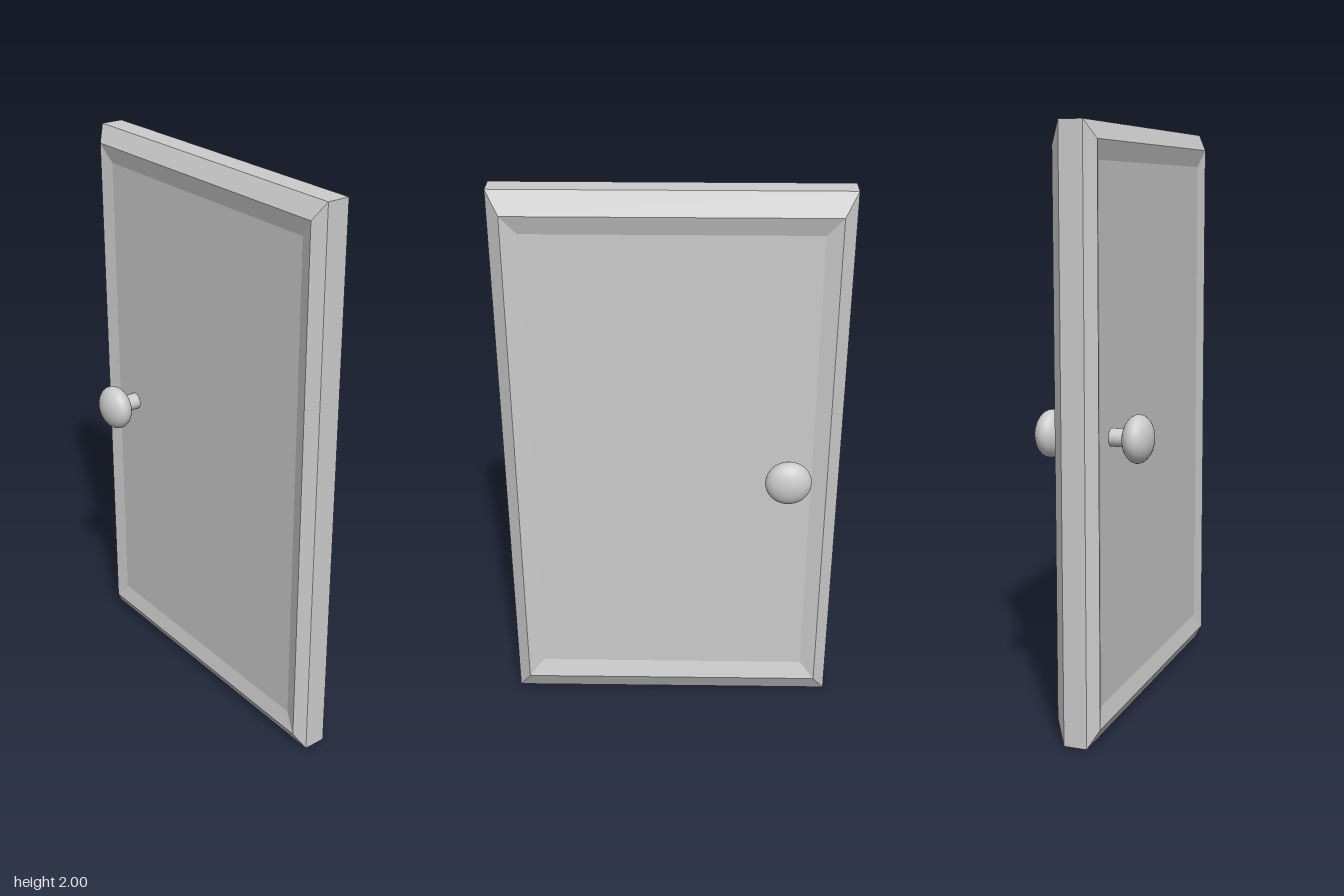
import * as THREE from 'three';

const KNOB_Z = -0.404;

// Rectangular loops from the -x panel to the +x panel: [x, half depth, half height]
const LOOPS = [
  [-0.06, 0.505, 0.88],   // left recessed panel
  [-0.075, 0.555, 0.942], // left rim
  [-0.041, 0.589, 1],     // core edge
  [0.039, 0.589, 1],      // core edge
  [0.079, 0.545, 0.925],  // right rim
  [0.059, 0.492, 0.86],   // right recessed panel
];

// Slab skinned from the loops, closed with a flat panel on each side
function slabGeometry() {
  const corners = LOOPS.map(([x, z, y]) => [
    [x, 1 - y, z], [x, 1 - y, -z], [x, 1 + y, -z], [x, 1 + y, z],
  ]);
  const pos = [];
  const quad = (a, b, c, d) => pos.push(...a, ...b, ...c, ...a, ...c, ...d);
  for (let i = 0; i < corners.length - 1; i++) {
    const p = corners[i], q = corners[i + 1];
    for (let k = 0; k < 4; k++) {
      const n = (k + 1) % 4;
      quad(p[k], p[n], q[n], q[k]);
    }
  }
  const first = corners[0], last = corners[corners.length - 1];
  quad(first[3], first[2], first[1], first[0]);
  quad(last[0], last[1], last[2], last[3]);
  const geo = new THREE.BufferGeometry();
  geo.setAttribute('position', new THREE.Float32BufferAttribute(pos, 3));
  geo.computeVertexNormals();
  return geo;
}

export function createModel() {
  const model = new THREE.Group();
  model.name = 'door';
  const material = new THREE.MeshStandardMaterial({ color: 0xcccccc });

  const slab = new THREE.Mesh(slabGeometry(), material);
  slab.name = 'doorSlab';
  model.add(slab);

  // A knob on a short stem for each side
  const stemGeo = new THREE.CylinderGeometry(0.03, 0.03, 0.08, 32).rotateZ(Math.PI / 2);
  const knobGeo = new THREE.SphereGeometry(0.08, 32, 24).rotateZ(Math.PI / 2).scale(0.05 / 0.08, 1, 1);
  for (const [side, name] of [[1, 'left'], [-1, 'right']]) {
    const handle = new THREE.Group();
    handle.name = `${name}Handle`;
    const stem = new THREE.Mesh(stemGeo, material);
    stem.name = `${name}Stem`;
    stem.position.x = side * 0.08;
    const knob = new THREE.Mesh(knobGeo, material);
    knob.name = `${name}Knob`;
    knob.position.x = side * 0.152;
    handle.add(stem, knob);
    handle.position.set(0, 1, KNOB_Z);
    model.add(handle);
  }
  return model;
}
